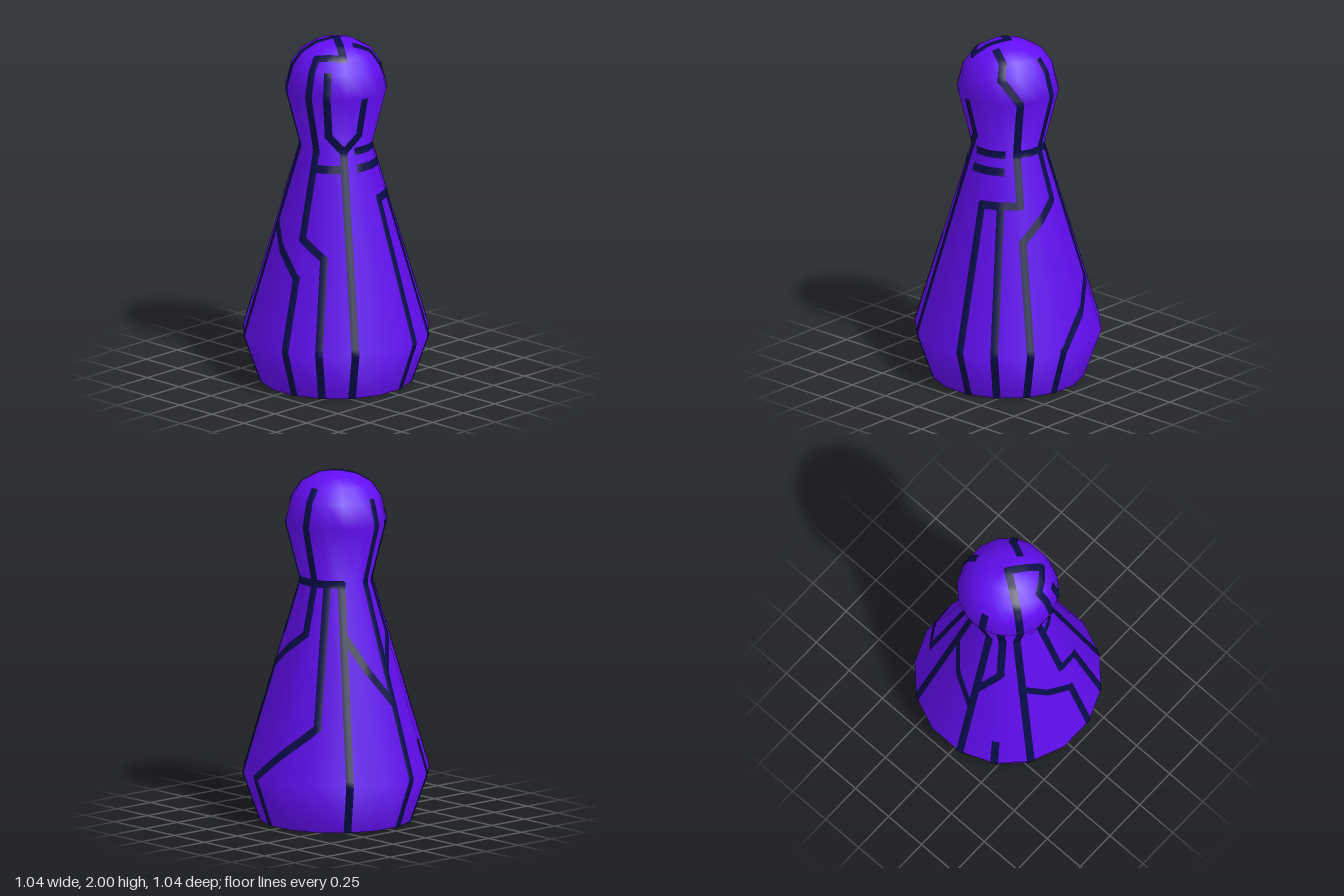
import * as THREE from 'three';
import { mergeGeometries } from 'three/addons/utils/BufferGeometryUtils.js';

const SIDES = 16;
const STEP = Math.PI / SIDES; // half a facet; odd multiples are the corner columns
const HEAD_Y = 1.71;
// Corner radius and height, from the open base to the crown
const PROFILE = [
  [0.432, 0], [0.53, 0.28], [0.204, 1.38], [0.288, HEAD_Y],
  [0.255, 1.846], [0.2, 1.925], [0.115, 1.975], [0, 2],
];

function radiusAt(y) {
  for (let i = 1; i < PROFILE.length; i++) {
    const [r0, y0] = PROFILE[i - 1], [r1, y1] = PROFILE[i];
    if (y <= y1) return r0 + (r1 - r0) * (y - y0) / (y1 - y0);
  }
  return 0;
}

// Point on a column (in half facets round from the front) at a height
function onColumn(u, y) {
  const r = radiusAt(y);
  return new THREE.Vector3(Math.sin(u * STEP) * r, y, Math.cos(u * STEP) * r);
}

// Direction from the core: level on the body, radial on the dome
function outward(p) {
  return new THREE.Vector3(p.x, Math.max(p.y - HEAD_Y, 0), p.z).normalize();
}

// Push a point out (or in) to the faceted surface, then lift it a little
function project(p, lift) {
  const y = Math.max(p.y, 0), base = Math.min(y, HEAD_Y);
  const d = outward(p);
  const a = Math.atan2(d.x, d.z), facet = Math.round(a / (2 * STEP)) * 2 * STEP;
  const rho = Math.hypot(d.x, d.z) * Math.cos(a - facet) / Math.cos(STEP);
  let lo = 0, hi = 1;
  for (let i = 0; i < 36; i++) {
    const s = (lo + hi) / 2;
    if (rho * s < radiusAt(base + d.y * s)) lo = s; else hi = s;
  }
  return d.multiplyScalar(lo + lift).add(new THREE.Vector3(0, base, 0));
}

// Flat ribbon between two surface points, wrapped onto the facets
function ribbon(a, b, lift, width = 0.044) {
  const t = b.clone().sub(a).normalize();
  const from = a.clone().addScaledVector(t, -0.016), to = b.clone().addScaledVector(t, 0.016);
  const rows = Math.ceil(from.distanceTo(to) / 0.025);
  const pos = [], index = [];
  for (let i = 0; i <= rows; i++) {
    const c = from.clone().lerp(to, i / rows);
    const side = t.clone().cross(outward(c)).normalize();
    for (let j = -1; j <= 1; j++) {
      pos.push(...project(c.clone().addScaledVector(side, j * width / 2), lift).toArray());
      if (i < rows && j < 1) {
        const k = i * 3 + j + 1;
        index.push(k, k + 1, k + 3, k + 1, k + 4, k + 3);
      }
    }
  }
  const g = new THREE.BufferGeometry();
  g.setAttribute('position', new THREE.Float32BufferAttribute(pos, 3));
  g.setIndex(index);
  g.computeVertexNormals();
  return g;
}

// Each path lists [column, height]
const PATHS = {
  frontLeftLine: [[1, 1.968], [3, 1.925], [3, 1.846], [5, HEAD_Y], [5, 1.38], [5, 1.1], [1, 1.1], [1, 0.28], [1, 0]],
  frontLeftBranch: [[3, 1.1], [3, 0.28], [3, 0]],
  leftSideLine: [[9, 1.91], [9, 1.846], [9, HEAD_Y], [9, 1.38], [9, 1.1], [5, 0.9], [5, 0.28], [5, 0]],
  waistBand: [[5, 1.38], [9, 1.38], [13, 1.38]],
  leftZigzag: [[11, 1.38], [11, 0.6], [7, 0.28], [7, 0]],
  backLeftLine: [[13, 1.38], [13, 0.28], [13, 0]],
  backLink: [[13, 1.1], [15, 0.9], [17, 0.7]],
  backLine: [[17, 1.846], [17, HEAD_Y], [17, 1.38], [17, 0.28], [17, 0]],
  backFork: [[19, HEAD_Y], [19, 1.38], [19, 1.08], [17, 0.88]],
  backStub: [[19, 0.46], [19, 0.28], [19, 0]],
  crownLine: [[21, 0], [21, 0.28], [21, 1.38], [21, HEAD_Y], [21, 1.846], [21, 1.925], [21, 1.975], [0, 2],
    [-3, 1.975], [-3, 1.925], [-7, 1.92], [-7, 1.846], [-7, HEAD_Y], [-7, 1.38], [-7, 0.9], [-5, 0.8], [-5, 0.28], [-5, 0]],
  rightLink: [[21, 0.94], [23, 0.82], [25, 0.68], [25, 0.28], [25, 0]],
  faceLine: [[-1, 1.69], [-1, 1.48], [-3, 1.38], [-3, 0.28], [-3, 0]],
  cheekLine: [[-5, 1.846], [-5, HEAD_Y], [-5, 1.48], [-3, 1.38]],
  upperCollarBar: [[-1, 1.38], [1, 1.38], [3, 1.38]],
  lowerCollarBar: [[-1, 1.285], [1, 1.285], [3, 1.285]],
  rightCollarBar: [[-3, 1.285], [-5, 1.285], [-7, 1.285]],
};

export function createModel() {
  const model = new THREE.Group();
  model.name = 'gamePiece';

  // Hollow faceted body with rounded head
  const bodyMat = new THREE.MeshStandardMaterial({ color: 0x620df2, side: THREE.DoubleSide });
  const points = PROFILE.map(([r, y]) => new THREE.Vector2(r, y));
  const body = new THREE.Mesh(new THREE.LatheGeometry(points, SIDES, STEP), bodyMat);
  body.name = 'body';
  model.add(body);

  // Dark lines, seen on both the outside and inside of the shell
  const lineMat = new THREE.MeshStandardMaterial({ color: 0x080c48, side: THREE.DoubleSide });
  const lines = new THREE.Group();
  lines.name = 'surfaceLines';
  for (const [name, path] of Object.entries(PATHS)) {
    const pts = path.map(([u, y]) => onColumn(u, y));
    const strips = [];
    for (let i = 1; i < pts.length; i++)
      for (const lift of [0.003, -0.003]) strips.push(ribbon(pts[i - 1], pts[i], lift));
    const mesh = new THREE.Mesh(mergeGeometries(strips), lineMat);
    mesh.name = name;
    lines.add(mesh);
  }
  model.add(lines);
  return model;
}
